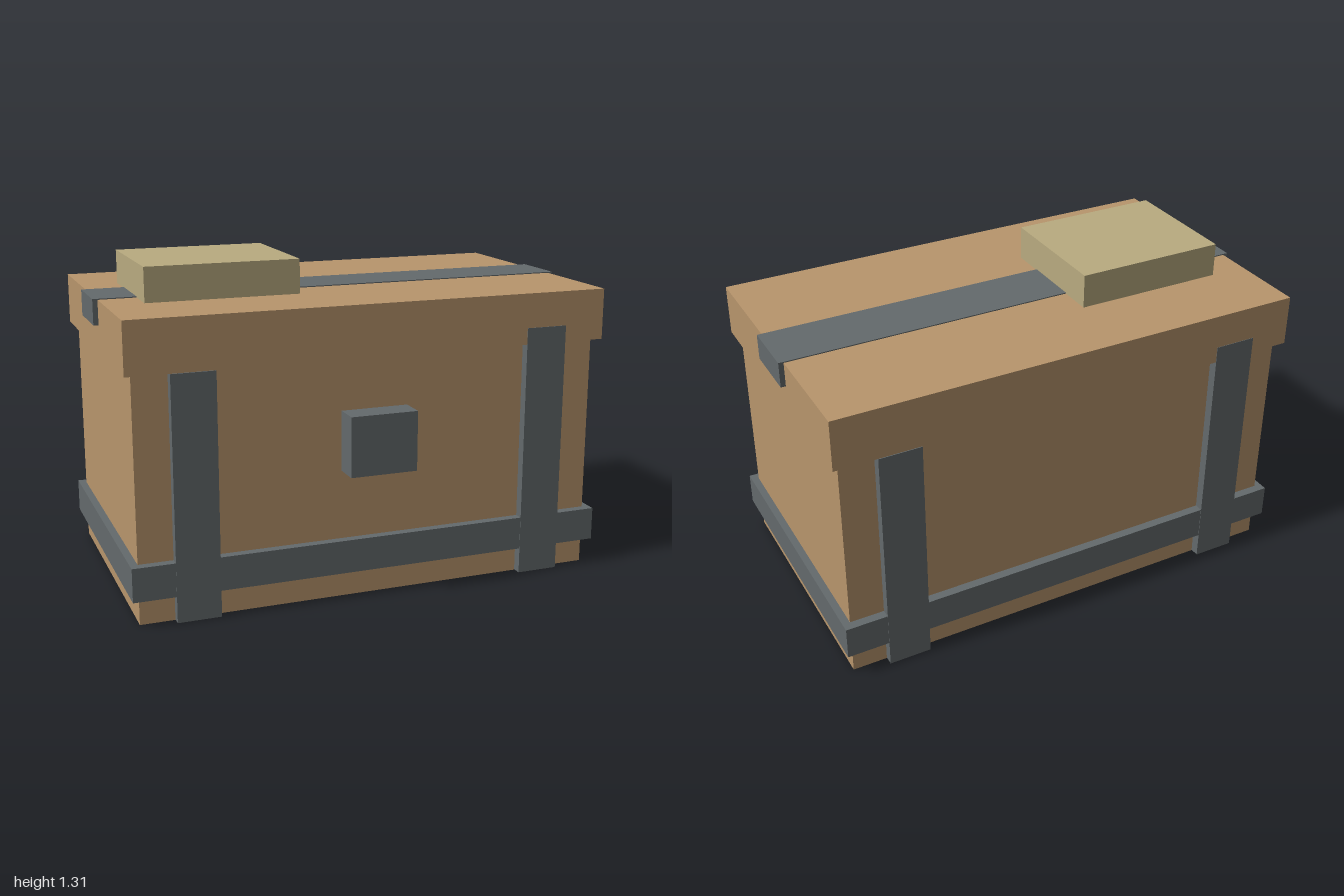
import * as THREE from 'three';

const wood = new THREE.MeshStandardMaterial({ color: 0xb8956c, flatShading: true });
const iron = new THREE.MeshStandardMaterial({ color: 0x646a6c, flatShading: true });
const parcel = new THREE.MeshStandardMaterial({ color: 0xb9ab80, flatShading: true });

export function createModel() {
  const model = new THREE.Group();
  model.name = 'chest';

  // Box given by its extents along each axis
  function box(name, material, [x0, x1], [y0, y1], [z0, z1]) {
    const mesh = new THREE.Mesh(new THREE.BoxGeometry(x1 - x0, y1 - y0, z1 - z0), material);
    mesh.position.set((x0 + x1) / 2, (y0 + y1) / 2, (z0 + z1) / 2);
    mesh.name = name;
    model.add(mesh);
  }

  // Wooden body and overhanging lid
  box('body', wood, [-0.95, 0.95], [0, 0.97], [-0.567, 0.5]);
  box('lid', wood, [-0.98, 0.98], [0.968, 1.174], [-0.603, 0.536]);

  // Band around the lower body
  box('lowerBand', iron, [-0.98, 0.98], [0.107, 0.242], [-0.603, 0.536]);

  // Upright straps; one on each long side laps over the lid edge
  for (const side of [1, -1]) {
    const z = side > 0 ? [0.49, 0.538] : [-0.605, -0.56];
    const face = side > 0 ? 'front' : 'back';
    const near = [0.638, 0.81];
    const far = [-0.813, -0.64];
    box(face + 'TallStrap', iron, side > 0 ? near : far, [0.002, 1.035], z);
    box(face + 'ShortStrap', iron, side > 0 ? far : near, [0.002, 0.967], z);
  }

  // Strap across the lid, with ends turned down
  box('lidStrap', iron, [-1, 1], [1.075, 1.178], [-0.155, 0.086]);

  // Lock plate on the front
  box('lock', iron, [-0.138, 0.136], [0.52, 0.76], [0.49, 0.605]);

  // Flat parcel resting on the lid
  box('parcel', parcel, [-0.828, -0.208], [1.17, 1.312], [-0.292, 0.223]);

  return model;
}
